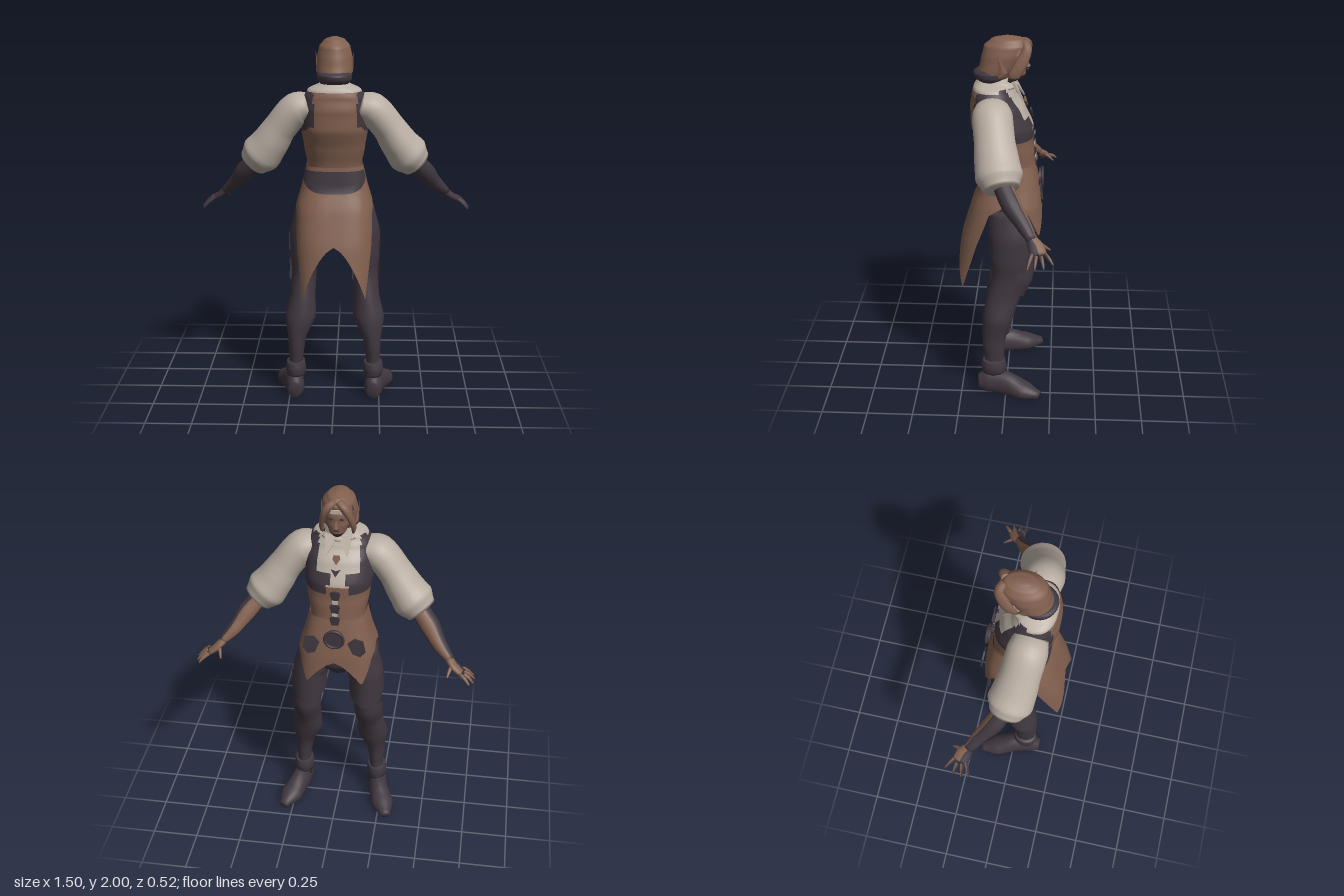
import * as THREE from 'three';

const mat = (name, color) => Object.assign(new THREE.MeshStandardMaterial({ color, side: THREE.DoubleSide }), { name });
const brown = mat('brown leather', 0x82604f);
const cream = mat('cream cloth', 0xb9aea3);
const dark = mat('dark leather', 0x40373f);
const MATS = [brown, cream, dark];
const [B, C, D] = [0, 1, 2];
const V = (x, y, z) => new THREE.Vector3(x, y, z);

// Indexed grid of points split into colour groups; paint returns -1 to leave a hole
function finish(name, pos, quads, paint) {
  const lists = [[], [], []];
  for (const [tri, centre, out] of quads) {
    const m = typeof paint === 'function' ? paint(centre, out) : paint;
    if (m >= 0) lists[m].push(...tri);
  }
  const g = new THREE.BufferGeometry();
  g.setAttribute('position', new THREE.Float32BufferAttribute(pos, 3));
  g.setIndex(lists.flat());
  let start = 0;
  lists.forEach((l, i) => { if (l.length) g.addGroup(start, l.length, i); start += l.length; });
  g.computeVertexNormals();
  const mesh = new THREE.Mesh(g, MATS);
  mesh.name = name;
  return mesh;
}

// Closed body through rings [x, y, z, ru, rv]; flat keeps the rings horizontal
function loft(name, rings, paint, { flat = false, ref = V(0, 0, 1), seg = 24, steps = 5, pow = 1, floor = -1 } = {}) {
  const curve = new THREE.CatmullRomCurve3(rings.map(r => V(r[0], r[1], r[2])), false, 'centripetal');
  const n = (rings.length - 1) * steps, pos = [], quads = [];
  const round = v => Math.sign(v) * Math.abs(v) ** pow;
  for (let i = -1; i <= n + 1; i++) {
    const k = Math.min(n, Math.max(0, i)), t = k / n;
    const s = Math.min(rings.length - 2, Math.floor(k / steps)), f = k / steps - s, e = f * f * (3 - 2 * f) * .5 + f * .5;
    const c = curve.getPoint(t), shrink = i < 0 || i > n ? 0.01 : 1;
    const dir = flat ? V(0, 1, 0) : curve.getTangent(t);
    const v = ref.clone().addScaledVector(dir, -ref.dot(dir)).normalize();
    const u = v.clone().cross(dir);
    const ru = THREE.MathUtils.lerp(rings[s][3], rings[s + 1][3], e) * shrink;
    const rv = THREE.MathUtils.lerp(rings[s][4], rings[s + 1][4], e) * shrink;
    for (let j = 0; j < seg; j++) {
      const a = j / seg * Math.PI * 2;
      const p = c.clone().addScaledVector(u, ru * round(Math.cos(a))).addScaledVector(v, rv * round(Math.sin(a)));
      pos.push(p.x, Math.max(floor, p.y), p.z);
      if (i > n) continue;
      const j2 = (j + 1) % seg, r = (i + 1) * seg, q = r + seg, b = a + Math.PI / seg;
      const out = u.clone().multiplyScalar(Math.cos(b)).addScaledVector(v, Math.sin(b));
      quads.push([[r + j, r + j2, q + j, r + j2, q + j2, q + j], p, out]);
    }
  }
  return finish(name, pos, quads, paint);
}

// Open sheet over u, v in 0..1
function sheet(name, point, nu, nv, paint) {
  const pos = [], quads = [];
  for (let i = 0; i <= nv; i++) for (let j = 0; j <= nu; j++) {
    const p = point(j / nu, i / nv), r = i * (nu + 1) + j, q = r + nu + 1;
    pos.push(p.x, p.y, p.z);
    if (i < nv && j < nu) quads.push([[r, q, r + 1, r + 1, q, q + 1], p]);
  }
  return finish(name, pos, quads, paint);
}

// Thin flat plate facing the character's front (-z)
function plate(name, pts, material, [x, y, z], rot = [0, 0, 0]) {
  const g = new THREE.ExtrudeGeometry(new THREE.Shape(pts.map(p => new THREE.Vector2(...p))), { depth: 0.009, bevelEnabled: false });
  const m = new THREE.Mesh(g, material);
  m.position.set(x, y, z);
  m.rotation.set(...rot);
  m.name = name;
  return m;
}

// Piecewise linear lookup in rows [key, a, b, ...]
function table(rows, k) {
  let i = 0;
  while (i < rows.length - 2 && k > rows[i + 1][0]) i++;
  const f = THREE.MathUtils.clamp((k - rows[i][0]) / (rows[i + 1][0] - rows[i][0]), 0, 1);
  return rows[i].slice(1).map((v, j) => THREE.MathUtils.lerp(v, rows[i + 1][j + 1], f));
}

// Coat skirt: half width, back depth, front depth by height; hem height by angle from the back
const SKIRT = [[.6, .215, .305, .2], [.9, .22, .25, .2], [1.1, .21, .19, .185], [1.2, .18, .145, .17], [1.32, .152, .135, .145]];
const HEM = [[0, .91], [44, .62], [58, .86], [72, 1.07], [90, 1.12], [118, 1.08], [146, .93], [180, 1.07]];
function skirtPoint(deg, y, grow = 1) {
  const [w, back, front] = table(SKIRT, y), a = deg * Math.PI / 180, s = Math.sin(a), c = Math.cos(a);
  const box = v => Math.sign(v) * Math.abs(v) ** .65;
  return V(w * box(s) * grow, y, (c > 0 ? back : front) * box(c) * grow);
}

function paintTorso(p) {
  const x = Math.abs(p.x);
  if (p.z > .05) return p.y > 1.725 ? C : x > .115 && p.y > 1.5 + (.18 - x) * .7 ? D : B;
  if (p.y > 1.57) return x > .11 && p.y < 1.74 ? D : C;
  if (p.y > 1.46) return x > .045 + (1.57 - p.y) * .1 ? D : p.y > 1.5 ? C : B;
  return B;
}

function addSide(g, s) {
  const L = s > 0 ? 'left' : 'right';
  const m = rows => rows.map(([x, ...r]) => [x * s, ...r]);
  // Sleeve, forearm and hand
  g.add(loft(L + 'Sleeve', m([[.13, 1.645, .075, .07, .09], [.2, 1.625, .07, .09, .105], [.285, 1.53, .055, .088, .105],
    [.345, 1.44, .04, .1, .115], [.395, 1.375, .025, .112, .122], [.44, 1.325, .01, .085, .09]]), C));
  g.add(loft(L + 'Forearm', m([[.42, 1.345, .01, .05, .05], [.49, 1.265, -.04, .054, .052], [.55, 1.19, -.1, .04, .04], [.615, 1.13, -.15, .024, .028]]),
    (p, o) => (o.z < -.55 ? B : D), { seg: 16 }));
  const skin = (p, o) => (o.z < -.1 ? B : D);
  g.add(loft(L + 'Palm', m([[.6, 1.14, -.14, .022, .026], [.64, 1.105, -.17, .02, .042], [.68, 1.08, -.185, .014, .042]]), skin, { seg: 12 }));
  const fingers = [[.68, 1.085, -.15, .74, 1.03, -.128], [.69, 1.078, -.17, .747, 1.032, -.165],
    [.69, 1.078, -.195, .742, 1.035, -.21], [.675, 1.085, -.215, .722, 1.05, -.255], [.625, 1.115, -.175, .605, 1.075, -.24]];
  fingers.forEach(([a, b, c, d, e, f], i) => g.add(loft(L + 'Finger' + (i + 1),
    m([[a, b, c, .011, .012], [(a + d) / 2, (b + e) / 2 + .005, (c + f) / 2, .01, .01], [d, e, f, .005, .005]]), skin, { seg: 8, steps: 3 })));

  // Leg, boot cuff and boot
  g.add(loft(L + 'Leg', m([[.218, .08, .065, .045, .055], [.215, .2, .065, .038, .054], [.21, .32, .068, .048, .064], [.19, .46, .045, .086, .085],
    [.178, .58, .015, .07, .093], [.172, .7, -.02, .068, .1], [.172, .82, -.025, .076, .113], [.145, .95, -.022, .102, .12], [.115, 1.08, -.02, .098, .115]]), D, { flat: true }));
  g.add(loft(L + 'BootCuff', m([[.216, .12, .068, .052, .065], [.217, .16, .068, .057, .07], [.217, .2, .068, .05, .062]]), D, { flat: true, steps: 3 }));
  g.add(loft(L + 'Boot', m([[.22, .05, .155, .036, .045], [.22, .055, .1, .052, .078], [.238, .05, 0, .056, .075], [.272, .03, -.1, .064, .052], [.302, .02, -.19, .028, .022]]), D,
    { ref: V(0, 1, 0), floor: .003, seg: 20 }));
  // Pointed knee guard and thigh plate
  for (const [name, top, drop, cx, r, arc] of [['KneeGuard', .8, .23, .175, .083, 75], ['ThighPlate', .96, .2, .16, .096, 95]]) {
    g.add(sheet(L + name, (u, v) => {
      const k = u * 2 - 1, a = k * arc * Math.PI / 180, y = top - .05 * Math.abs(k) - v * drop * (1 - .55 * Math.abs(k));
      const lean = Math.max(0, .7 - y) * .45;
      return V(s * (cx + r * Math.sin(a)), y, -.03 - (r + .035) * Math.cos(a) + lean);
    }, 12, 6, D));
  }

  // Belt pouch, collar wing, ear, eye and hanging front hair
  g.add(plate(L + 'Pouch', [[-.04, .03], [0, .055], [.045, .035], [.035, -.03], [0, -.055], [-.035, -.035]], dark, [s * .125, 1.18, -.19], [.1, 0, s * .3]));
  g.add(plate(L + 'CollarWing', [[0, .05], [s * .07, .07], [s * .055, -.05]], cream, [0, 1.71, -.065], [.5, 0, 0]));
  const ear = new THREE.Mesh(new THREE.ConeGeometry(.024, .11, 8), brown);
  ear.name = L + 'Ear';
  ear.scale.x = .4;
  ear.position.set(s * .094, 1.875, .035);
  ear.rotation.set(.25, 0, -s * .1);
  g.add(ear);
  g.add(plate(L + 'Eye', [[-.014, 0], [0, .006], [.014, 0], [0, -.005]], dark, [s * .028, 1.885, -.104]));
  g.add(loft(L + 'HairLock', m([[.012, 1.972, -.08, .02, .025], [.045, 1.945, -.1, .022, .025], [.072, 1.88, -.075, .016, .032], [.082, 1.81, -.035, .012, .03], [.075, 1.775, -.01, .005, .01]]),
    p => (p.y < 1.8 ? D : B), { seg: 12 }));
}

export function createModel() {
  const g = new THREE.Group();
  g.name = 'adventurer';

  // Torso with waistcoat and straps, hips and coat skirt
  g.add(loft('torso', [[0, 1.24, -.012, .15, .135], [0, 1.32, -.008, .148, .137], [0, 1.42, .01, .165, .148], [0, 1.52, .03, .18, .165],
    [0, 1.62, .055, .178, .145], [0, 1.69, .075, .168, .115], [0, 1.735, .08, .14, .1], [0, 1.765, .07, .08, .085]], paintTorso, { flat: true, seg: 56, steps: 9, pow: .85 }));
  g.add(loft('hips', [[0, .93, -.01, .06, .07], [0, 1.0, -.015, .18, .11], [0, 1.12, -.012, .175, .12], [0, 1.27, -.01, .138, .12]], D, { flat: true }));
  g.add(sheet('coatSkirt', (u, v) => {
    const a = u * 360 - 180, [hem] = table(HEM, Math.abs(a));
    return skirtPoint(a, 1.32 + (hem - 1.32) * v);
  }, 90, 14, B));
  g.add(sheet('backBelt', (u, v) => {
    const k = u * 2 - 1, low = 1.18 + .08 * k * k;
    return skirtPoint(k * 72, 1.3 + (low - 1.3) * v, 1.04);
  }, 24, 5, D));

  // Round buckle, front fastenings and neck ornament
  const buckle = new THREE.Mesh(new THREE.CylinderGeometry(.05, .05, .02, 24), dark);
  buckle.rotation.x = Math.PI / 2;
  buckle.position.set(0, 1.22, -.178);
  buckle.name = 'buckle';
  const rim = new THREE.Mesh(new THREE.TorusGeometry(.05, .008, 8, 24), dark);
  rim.position.set(0, 1.22, -.187);
  rim.name = 'buckleRim';
  g.add(buckle, rim);
  const clasp = [[-.028, .015], [-.015, .028], [.015, .028], [.028, .015], [.018, -.025], [-.018, -.025]];
  [[1.46, -.146], [1.385, -.152], [1.315, -.158]].forEach(([y, z], i) => {
    g.add(plate('clasp' + (i + 1), clasp, dark, [0, y, z], [-.1, 0, 0]));
    if (i < 2) g.add(plate('lace' + (i + 1), [[-.014, .012], [.014, .012], [.014, -.012], [-.014, -.012]], cream, [0, y - .038, z - .002]));
  });
  g.add(plate('neckOrnament', [[-.015, .02], [.015, .02], [.02, 0], [0, -.03], [-.02, 0]], brown, [0, 1.655, -.098], [.3, 0, 0]));
  g.add(plate('neckPendant', [[-.025, .015], [0, .005], [.025, .015], [0, -.025]], dark, [0, 1.595, -.128], [.3, 0, 0]));

  // Neck, shirt collar and head
  g.add(loft('neck', [[0, 1.72, .06, .058, .06], [0, 1.86, .01, .055, .055]], p => (p.y < 1.78 ? C : B), { flat: true }));
  g.add(loft('shirtCollar', [[0, 1.735, .055, .105, .108], [0, 1.765, .05, .08, .088], [0, 1.785, .045, .07, .08]], C, { flat: true }));
  g.add(loft('face', [[0, 1.775, -.055, .022, .022], [0, 1.8, -.045, .045, .048], [0, 1.85, -.03, .066, .068], [0, 1.9, -.02, .072, .08], [0, 1.95, -.01, .06, .075]],
    p => (p.y < 1.8 ? D : B), { flat: true }));
  const nose = new THREE.Mesh(new THREE.ConeGeometry(.014, .05, 6), brown);
  nose.position.set(0, 1.862, -.1);
  nose.rotation.x = .2;
  nose.name = 'nose';
  g.add(nose);
  g.add(plate('headband', [[-.03, .01], [.03, .01], [.03, -.01], [-.03, -.01]], cream, [0, 1.925, -.102]));
  g.add(plate('mouth', [[-.018, 0], [.018, 0], [.012, -.006], [-.012, -.006]], dark, [0, 1.825, -.108]));

  // Swept hair with an open face, and its dark curled ends
  g.add(loft('hair', [[0, 1.79, .075, .088, .09], [0, 1.84, .05, .094, .1], [0, 1.9, .025, .093, .112], [0, 1.95, .008, .083, .116], [0, 1.985, 0, .055, .085], [0, 2.0, 0, .015, .03]],
    p => (p.z < -.005 && Math.abs(p.x) < .075 && p.y < 1.935 ? -1 : B), { flat: true, seg: 40 }));
  g.add(loft('hairEnds', [[0, 1.765, .085, .075, .07], [0, 1.785, .085, .092, .092], [0, 1.81, .08, .094, .102], [0, 1.825, .07, .085, .092]], D, { flat: true, steps: 3 }));

  addSide(g, 1);
  addSide(g, -1);
  return g;
}
